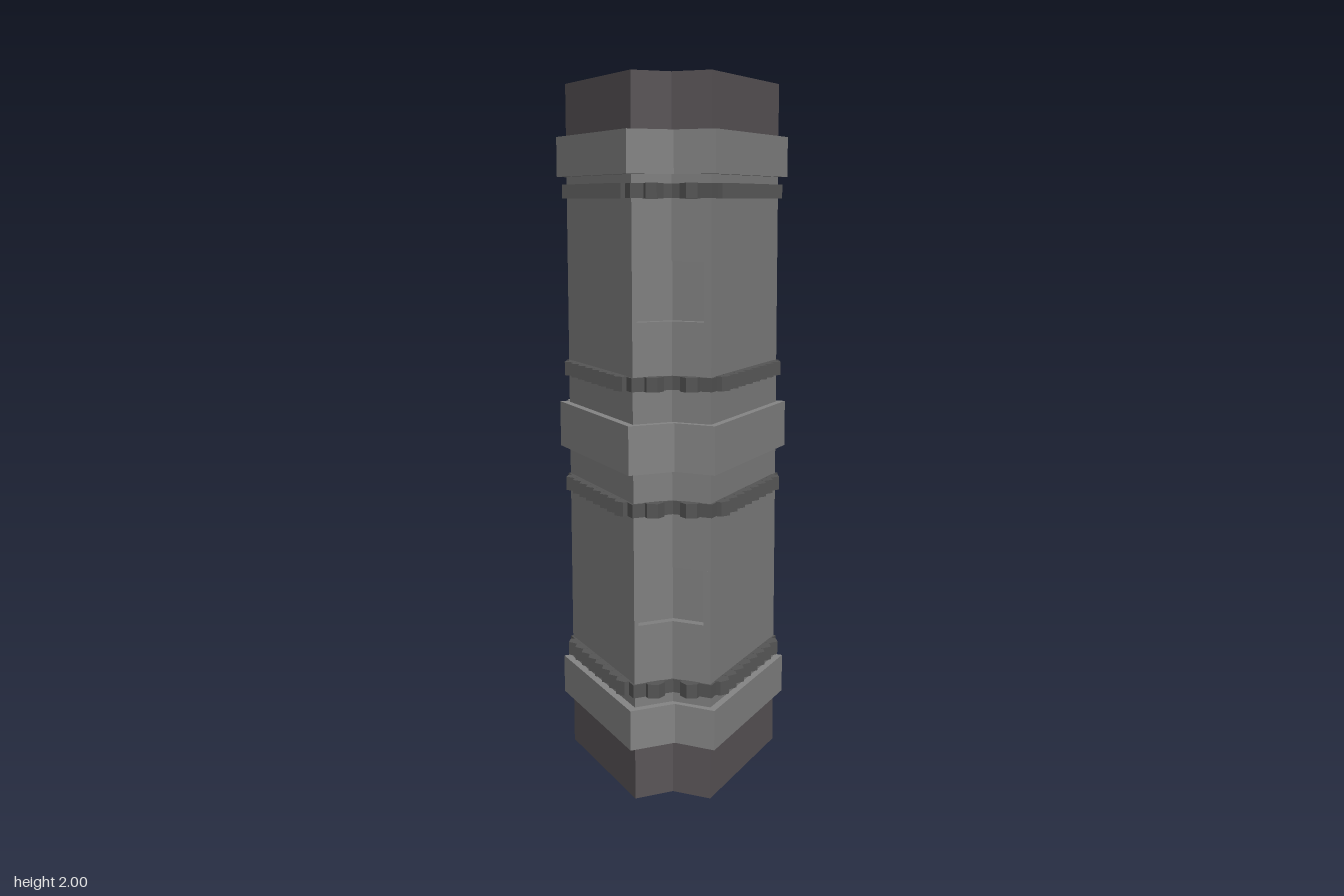
import * as THREE from 'three';

const mat = (name, color) => {
  const m = new THREE.MeshStandardMaterial({ color, flatShading: true });
  m.name = name;
  return m;
};

// Outlines are [x, z] halves, mirrored across the x = z diagonal.
const SHAFT = [[-0.055, 0.287], [-0.137, 0.204], [-0.253, 0.214], [-0.296, -0.267], [-0.273, -0.27]];
const BAND = [[-0.055, 0.317], [-0.139, 0.227], [-0.274, 0.238], [-0.32, -0.287], [-0.291, -0.289]];
// Shaft outline with the inner corner cut back to form a niche
const NICHE = [SHAFT[0], [-0.07, 0.272], [-0.052, 0.254], [-0.126, 0.178], [-0.242, 0.188],
  [-0.24, 0.213], ...SHAFT.slice(2)];

const mirrored = (half) => [...half, ...half.map(([x, z]) => [z, x]).reverse()];
const shaftOutline = mirrored(SHAFT);
const bandOutline = mirrored(BAND);
const nicheOutline = mirrored(NICHE);
const stripOutline = shaftOutline.map(([x, z], i) => [
  x + (bandOutline[i][0] - x) * 0.25,
  z + (bandOutline[i][1] - z) * 0.25,
]);

// Upright prism between two heights
function prism(name, outline, y0, y1, material) {
  const shape = new THREE.Shape(outline.map(([x, z]) => new THREE.Vector2(x, -z)));
  const geo = new THREE.ExtrudeGeometry(shape, { depth: y1 - y0, bevelEnabled: false });
  geo.rotateX(-Math.PI / 2).translate(0, y0, 0);
  const mesh = new THREE.Mesh(geo, material);
  mesh.name = name;
  return mesh;
}

// Thin strip with a row of six-sided studs along every long edge
function studdedStrip(y, material) {
  const group = new THREE.Group();
  group.name = 'studdedStrip';
  group.add(prism('stripCore', stripOutline, y - 0.019, y + 0.019, material));
  const studGeo = new THREE.CylinderGeometry(0.03, 0.03, 0.04, 6);
  shaftOutline.forEach(([x0, z0], i) => {
    const [x1, z1] = shaftOutline[(i + 1) % shaftOutline.length];
    const dx = x1 - x0, dz = z1 - z0, len = Math.hypot(dx, dz);
    const nx = dz / len, nz = -dx / len;
    const count = Math.round(len / 0.054);
    for (let k = 1; k < count; k++) {
      const t = k / count;
      const stud = new THREE.Mesh(studGeo, material);
      stud.name = 'stud';
      stud.position.set(x0 + dx * t + nx * 0.004, y, z0 + dz * t + nz * 0.004);
      stud.rotation.y = Math.atan2(nx, nz);
      group.add(stud);
    }
  });
  return group;
}

export function createModel() {
  const stone = mat('grey stone', 0x808080);
  const trim = mat('light grey trim', 0x858585);
  const dark = mat('dark grey studs', 0x555555);
  const plinth = mat('purple grey plinth', 0x5a5558);

  const model = new THREE.Group();
  model.name = 'pillar';

  // Shaft in stacked sections, two of them with corner niches
  const cuts = [0.2, 0.505, 0.66, 1.345, 1.505, 1.8];
  for (let i = 0; i < cuts.length - 1; i++) {
    const niche = i % 2 === 1;
    model.add(prism(niche ? 'nicheSection' : 'shaftSection',
      niche ? nicheOutline : shaftOutline, cuts[i], cuts[i + 1], stone));
  }

  // Dark ends with plain stone top and bottom faces
  model.add(prism('base', shaftOutline, 0, 0.2, [stone, plinth]));
  model.add(prism('capital', shaftOutline, 1.8, 2, [stone, plinth]));

  // Wide bands
  for (const [y0, y1] of [[0.155, 0.27], [0.935, 1.07], [1.735, 1.85]]) {
    model.add(prism('band', bandOutline, y0, y1, trim));
  }

  // Studded strips
  for (const y of [0.318, 0.832, 1.178, 1.692]) model.add(studdedStrip(y, dark));

  return model;
}
